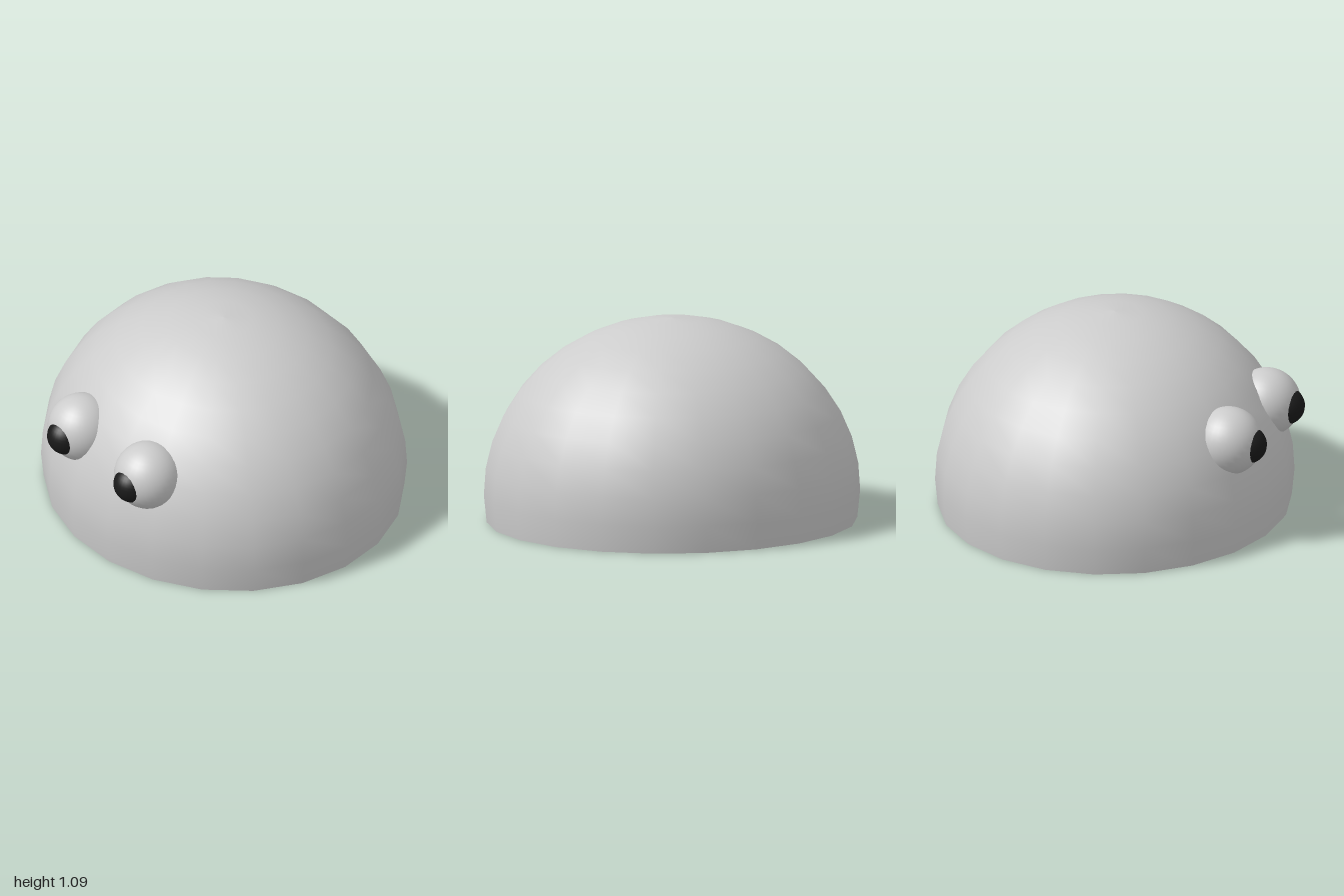
import * as THREE from 'three';

export function createModel() {
  const model = new THREE.Group();
  const mat = (name, color) => new THREE.MeshStandardMaterial({ name, color });
  const grey = mat('pale grey', 0xcccccc);
  const green = mat('green', 0x4dc264);
  const black = mat('black', 0x1a1a1a);

  const SIDES = 22, RINGS = 11, MID = 0.16, DEPTH = 0.94, ZC = -0.02;

  const add = (name, geometry, material, x = 0, y = 0, z = 0) => {
    const mesh = new THREE.Mesh(geometry, material);
    mesh.name = name;
    mesh.position.set(x, y, z);
    model.add(mesh);
    return mesh;
  };

  // Profile of a cut ellipsoid, from the flat base up to the crown
  const profile = (radius, height) => {
    const start = -Math.asin(MID / height);
    return Array.from({ length: RINGS + 1 }, (_, i) => {
      const a = start + (Math.PI / 2 - start) * i / RINGS;
      return new THREE.Vector2(
        i === RINGS ? 0 : radius * Math.cos(a),
        i === 0 ? 0 : MID + height * Math.sin(a));
    });
  };
  const turn = (name, points, material) => {
    const mesh = add(name, new THREE.LatheGeometry(points, SIDES, Math.PI / 2), material, 0, 0, ZC);
    mesh.scale.z = DEPTH;
  };

  // Hollow dome: outer skin, base rim and inner lining
  const outer = profile(1, 0.925);
  const inner = profile(0.95, 0.875);
  turn('domeShell', outer, grey);
  turn('domeRim', [inner[0], outer[0]], grey);
  turn('domeLining', [...inner].reverse(), green);

  // Mirrored eyes, pupils and the pads inside the shell above them
  for (const [side, s] of [['left', 1], ['right', -1]]) {
    add(side + 'Eye', new THREE.SphereGeometry(0.182, 32, 20), grey, s * 0.27, 0.575, 0.734);
    add(side + 'Pupil', new THREE.SphereGeometry(0.1, 28, 18), black, s * 0.27, 0.57, 0.845);
    const pad = add(side + 'InnerPad', new THREE.SphereGeometry(0.12, 20, 12), grey, s * 0.33, 0.79, 0.5);
    pad.scale.z = 0.35;
    pad.lookAt(s * 0.7, 1.5, 1.1);
  }

  // Small bar on the inside of the front wall
  add('innerBar', new THREE.BoxGeometry(0.25, 0.05, 0.05), green, 0, 0.33, 0.83);

  return model;
}
